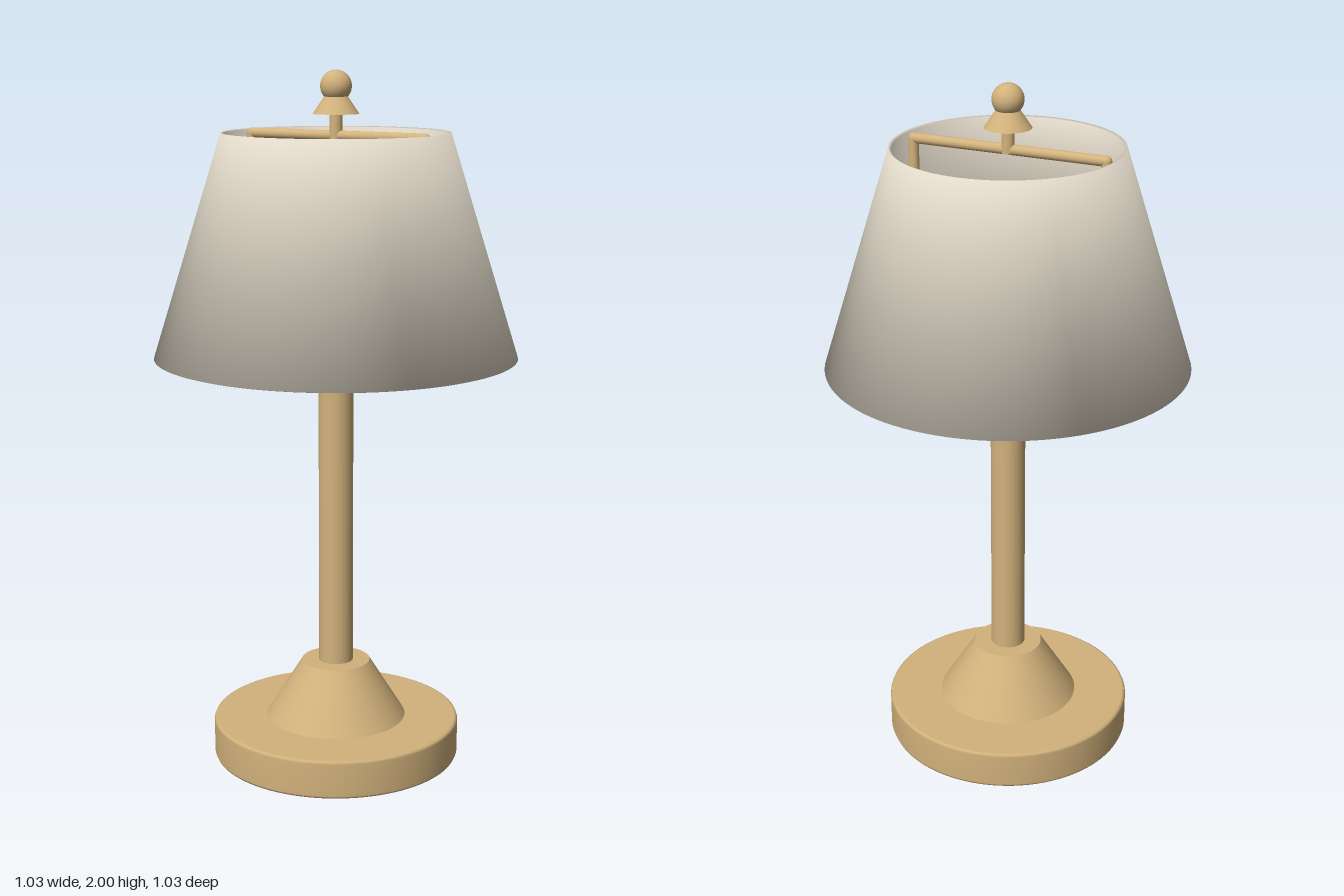
import * as THREE from 'three';

const brass = new THREE.MeshStandardMaterial({ color: 0xd2b27c });
brass.name = 'brass';
const fabric = new THREE.MeshStandardMaterial({ color: 0xe0d8c8 });
fabric.name = 'shadeFabric';
const glass = new THREE.MeshStandardMaterial({ color: 0xe4dfd3 });
glass.name = 'bulbGlass';

function add(parent, name, geometry, material, x = 0, y = 0, z = 0) {
  const mesh = new THREE.Mesh(geometry, material);
  mesh.name = name;
  mesh.position.set(x, y, z);
  parent.add(mesh);
  return mesh;
}

// Upright cylinder or cone between two heights
function turned(parent, name, y0, y1, rBottom, rTop = rBottom, material = brass, segments = 64) {
  return add(parent, name, new THREE.CylinderGeometry(rTop, rBottom, y1 - y0, segments), material, 0, (y0 + y1) / 2);
}

// Thin tapered wall whose normals blend softly over the rims
function shadeGeometry() {
  const bottom = new THREE.Vector2(0.517, 1.2);
  const top = new THREE.Vector2(0.32, 1.83);
  const along = top.clone().sub(bottom).normalize();
  const out = new THREE.Vector2(along.y, -along.x);
  const inset = out.clone().multiplyScalar(-0.01);
  const profile = [bottom, top, top.clone().add(inset), bottom.clone().add(inset), bottom];
  const signs = [[1, -1], [1, 1], [-1, 1], [-1, -1], [1, -1]];
  const segments = 96;
  const geometry = new THREE.LatheGeometry(profile, segments);
  const normal = geometry.attributes.normal;
  for (let i = 0; i <= segments; i++) {
    const phi = (i / segments) * Math.PI * 2;
    signs.forEach(([o, a], j) => {
      const n = out.clone().multiplyScalar(o).addScaledVector(along, a).normalize();
      normal.setXYZ(i * signs.length + j, n.x * Math.sin(phi), n.y, n.x * Math.cos(phi));
    });
  }
  return geometry;
}

export function createModel() {
  const lamp = new THREE.Group();
  lamp.name = 'tableLamp';

  // Foot with softened edges
  const r = 0.362, h = 0.115, b = 0.01;
  const foot = [[0, 0], [r - b, 0], [r - b * 0.3, b * 0.3], [r, b], [r, h - b], [r - b * 0.3, h - b * 0.3], [r - b, h], [0, h]];
  add(lamp, 'baseDisc', new THREE.LatheGeometry(foot.map(([x, y]) => new THREE.Vector2(x, y)), 96), brass);
  turned(lamp, 'baseCone', 0.115, 0.285, 0.205, 0.1);
  turned(lamp, 'column', 0.28, 1.19, 0.05);

  // Socket and bulb
  const socket = new THREE.Group();
  socket.name = 'socket';
  lamp.add(socket);
  turned(socket, 'socketCup', 1.18, 1.26, 0.105);
  turned(socket, 'socketFlange', 1.25, 1.31, 0.126);
  turned(socket, 'socketCollar', 1.3, 1.37, 0.105);
  turned(lamp, 'bulbNeck', 1.36, 1.41, 0.06, 0.08, glass);
  add(lamp, 'bulb', new THREE.SphereGeometry(0.115, 48, 32), glass, 0, 1.48, 0);

  // Rectangular harp around the bulb
  const harp = new THREE.Group();
  harp.name = 'harp';
  lamp.add(harp);
  const rod = 0.0145, half = 0.283, low = 1.28, high = 1.82;
  for (const y of [low, high]) {
    add(harp, 'harpBar', new THREE.CylinderGeometry(rod, rod, half * 2, 20), brass, 0, y, 0).rotation.z = Math.PI / 2;
    for (const x of [-half, half]) add(harp, 'harpCorner', new THREE.SphereGeometry(rod, 20, 14), brass, x, y, 0);
  }
  for (const x of [-half, half]) {
    add(harp, 'harpUpright', new THREE.CylinderGeometry(rod, rod, high - low, 20), brass, x, (low + high) / 2, 0);
  }

  // Finial
  const finial = new THREE.Group();
  finial.name = 'finial';
  lamp.add(finial);
  turned(finial, 'finialStem', 1.81, 1.885, 0.018, 0.018, brass, 32);
  turned(finial, 'finialCone', 1.88, 1.93, 0.065, 0.031, brass, 48);
  add(finial, 'finialBall', new THREE.SphereGeometry(0.044, 40, 28), brass, 0, 1.956, 0);

  add(lamp, 'lampshade', shadeGeometry(), fabric);
  return lamp;
}
